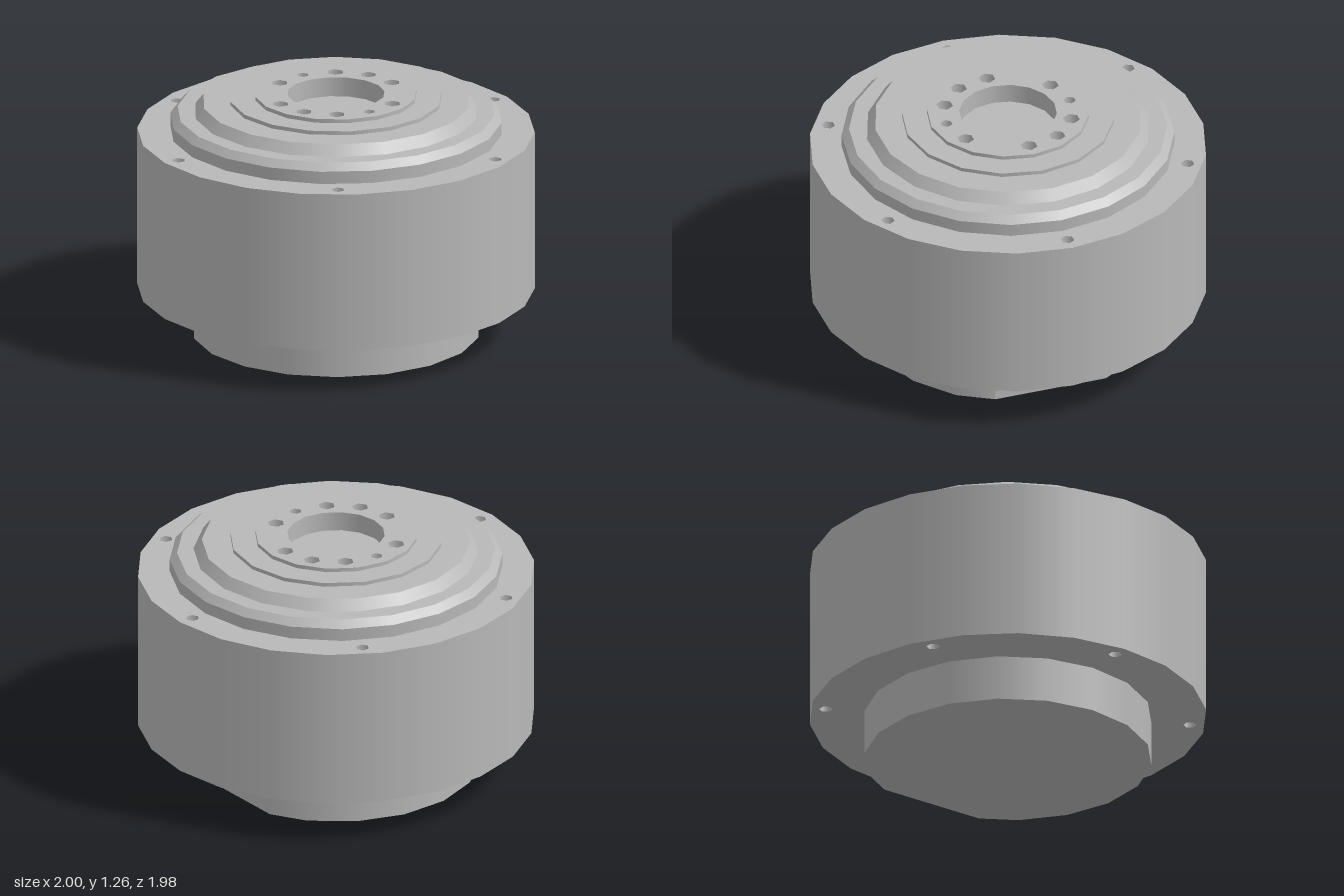
import * as THREE from 'three';

export function createModel() {
  const model = new THREE.Group();
  const metal = new THREE.MeshStandardMaterial({ color: 0xb8b8b8, side: THREE.DoubleSide });
  metal.name = 'grey metal';

  const add = (name, geometry) => {
    const mesh = new THREE.Mesh(geometry, metal);
    mesh.name = name;
    model.add(mesh);
    return mesh;
  };

  // Corners of a regular polygon, first corner towards +x
  const polygon = (r, n, cx = 0, cy = 0) => Array.from({ length: n }, (_, i) => {
    const a = (i / n) * Math.PI * 2;
    return new THREE.Vector2(cx + r * Math.cos(a), cy + r * Math.sin(a));
  });

  // Horizontal face with openings; up = 1 faces upwards, -1 downwards
  const face = (name, y, outline, openings = [], up = 1) => {
    const shape = new THREE.Shape(outline);
    shape.holes = openings.map((p) => new THREE.Path(p));
    add(name, new THREE.ShapeGeometry(shape).rotateX(-up * Math.PI / 2).translate(0, y, 0));
  };

  // Smooth round wall from (r0, y0) up to (r1, y1)
  const wall = (name, r0, y0, r1, y1, n) => add(name,
    new THREE.CylinderGeometry(r1, r0, y1 - y0, n, 1, true)
      .rotateY(Math.PI / 2).translate(0, (y0 + y1) / 2, 0));

  // Drilled hole: straight wall, then a pointed or flat end; dir = -1 drills down
  const drill = (h, y, depth, dir) => {
    const tip = h.pointed ? h.r * 0.6 : 0.002;
    const points = [[h.r, 0], [h.r, depth], [h.r, depth], [0, depth + tip]]
      .map(([r, d]) => new THREE.Vector2(r, dir * d));
    add('screwHole', new THREE.LatheGeometry(points, 6)
      .rotateY(Math.PI / 2).translate(h.x, y, -h.y));
  };
  const hole = (circle, degrees, r, pointed = true) => {
    const a = degrees * Math.PI / 180;
    return { x: circle * Math.cos(a), y: circle * Math.sin(a), r, pointed };
  };
  const opening = (h) => polygon(h.r, 6, h.x, h.y);

  // Main drum with six screw holes at each end
  const drumHoles = [0, 60, 120, 180, 240, 300].map((d) => hole(0.92, d, 0.034));
  wall('drumWall', 1, 0.235, 1, 1.065, 22);
  face('drumTop', 1.065, polygon(1, 22), [polygon(0.837, 20), ...drumHoles.map(opening)]);
  face('drumUnderside', 0.235, polygon(1, 22), [polygon(0.725, 18), ...drumHoles.map(opening)], -1);
  drumHoles.forEach((h) => { drill(h, 1.065, 0.2, -1); drill(h, 0.235, 0.2, 1); });

  // Stepped cover
  wall('coverRim', 0.837, 1.065, 0.837, 1.13, 20);
  wall('coverBevel', 0.837, 1.13, 0.8, 1.167, 20);
  face('coverLedge', 1.167, polygon(0.8, 20), [polygon(0.717, 18)]);
  wall('sealBevel', 0.717, 1.167, 0.675, 1.22, 18);
  face('sealTop', 1.22, polygon(0.675, 18), [polygon(0.535, 16)]);
  wall('outputStepWall', 0.535, 1.22, 0.535, 1.24, 16);
  face('outputStepTop', 1.24, polygon(0.535, 16), [polygon(0.408, 16)]);

  // Output flange with screw and dowel holes around a shallow bore
  const flangeHoles = [
    ...[0, 60, 120, 180, 240, 300].map((d) => hole(0.325, d, 0.043)),
    ...[90, 270].map((d) => hole(0.328, d, 0.031)),
    ...[30, 210].map((d) => hole(0.328, d, 0.042, false)),
  ];
  wall('flangeWall', 0.408, 1.24, 0.408, 1.26, 16);
  face('flangeTop', 1.26, polygon(0.408, 16), [polygon(0.246, 16), ...flangeHoles.map(opening)]);
  flangeHoles.forEach((h) => drill(h, 1.26, 0.1, -1));
  wall('boreWall', 0.246, 1.16, 0.246, 1.26, 16);
  face('boreFloor', 1.16, polygon(0.246, 16));

  // Foot: round above, with a flat cut into its left side below
  const flatX = 0.655, flatZ = 0.293, cutY = 0.14;
  wall('footUpperWall', 0.725, cutY, 0.725, 0.235, 18);
  const step = Math.PI / 9;
  const arc = new THREE.CylinderGeometry(0.725, 0.725, cutY, 16, 1, true, step, 16 * step)
    .rotateY(Math.PI / 2).translate(0, cutY / 2, 0);
  const pos = arc.attributes.position;
  for (let i = 0; i < pos.count; i++) {
    if (pos.getX(i) > flatX) {
      pos.setX(i, flatX);
      pos.setZ(i, Math.sign(pos.getZ(i)) * flatZ);
    }
  }
  add('footLowerWall', arc);
  add('footFlat', new THREE.PlaneGeometry(flatZ * 2, cutY)
    .rotateY(Math.PI / 2).translate(flatX, cutY / 2, 0));

  const round = polygon(0.725, 18);
  const corners = [new THREE.Vector2(flatX, -flatZ), new THREE.Vector2(flatX, flatZ)];
  face('footBottom', 0, [...corners, ...round.slice(2, 17)], [], -1);
  face('footCutLedge', cutY, [corners[0], round[17], round[0], round[1], corners[1]], [], -1);

  return model;
}
